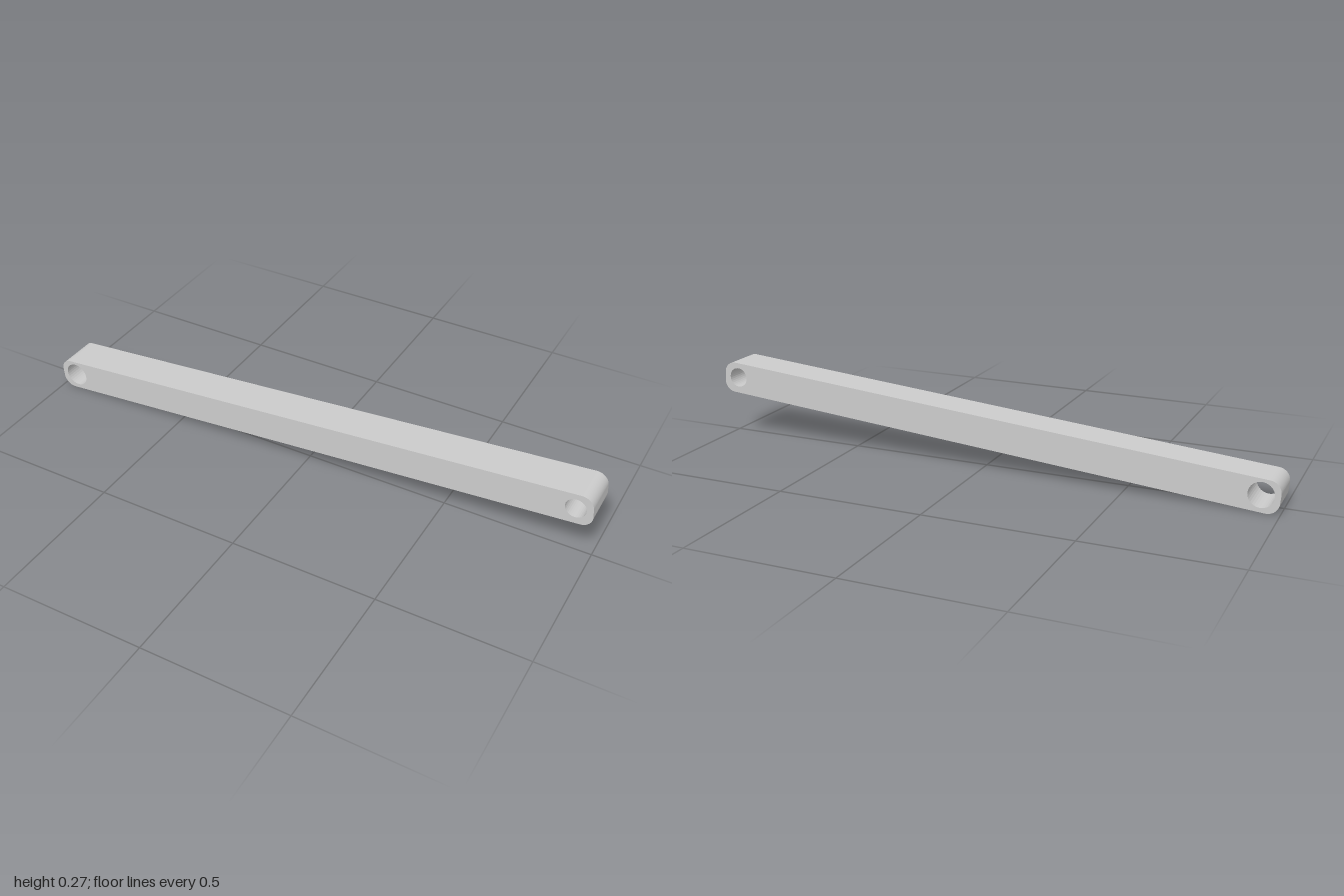
import * as THREE from 'three';

const TILT = Math.atan2(0.16, 1.88);
const HALF_LENGTH = 1.002, HALF_HEIGHT = 0.0545, CORNER = 0.04, DEPTH = 0.134;

// Rectangle with rounded corners, centred on the origin
function roundedBar(w, h, r) {
  const s = new THREE.Shape();
  s.absarc(w - r, h - r, r, 0, Math.PI / 2);
  s.absarc(-w + r, h - r, r, Math.PI / 2, Math.PI);
  s.absarc(-w + r, -h + r, r, Math.PI, Math.PI * 1.5);
  s.absarc(w - r, -h + r, r, Math.PI * 1.5, Math.PI * 2);
  s.closePath();
  return s;
}

function addHole(shape, x, y, r) {
  const hole = new THREE.Path();
  hole.absarc(x, y, r, 0, Math.PI * 2, true);
  shape.holes.push(hole);
}

export function createModel() {
  const group = new THREE.Group();
  group.name = 'linkBar';

  // Bar profile with a larger pin hole on one end and a smaller one on the other
  const profile = roundedBar(HALF_LENGTH, HALF_HEIGHT, CORNER);
  addHole(profile, -0.942, 0.002, 0.042);
  addHole(profile, 0.947, 0.002, 0.034);

  const geometry = new THREE.ExtrudeGeometry(profile, {
    depth: DEPTH, bevelEnabled: false, curveSegments: 16,
  });
  geometry.translate(0, 0, -DEPTH / 2);

  // Tilted so the +x end sits higher
  const bar = new THREE.Mesh(geometry, new THREE.MeshStandardMaterial({ color: 0xcccccc }));
  bar.name = 'bar';
  bar.rotation.z = TILT;
  bar.position.y = 0.136;
  group.add(bar);
  return group;
}
